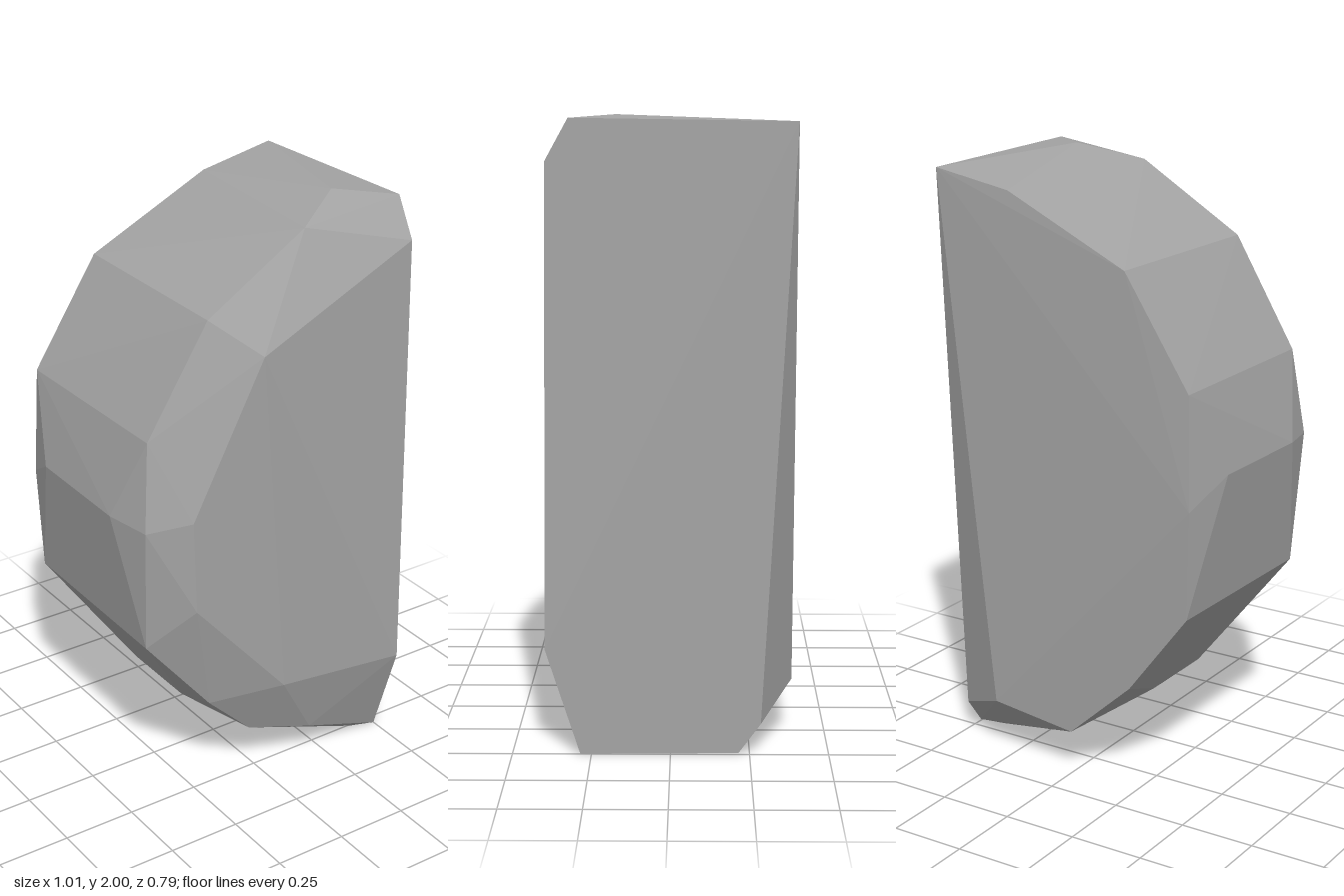
import * as THREE from 'three';
import { ConvexGeometry } from 'three/addons/geometries/ConvexGeometry.js';

export function createModel() {
  const group = new THREE.Group();
  group.name = 'halfRoundRock';
  const stone = new THREE.MeshStandardMaterial({ color: 0xa3a3a3, flatShading: true });
  stone.name = 'stoneGrey';

  // Outline of the flat front facet
  const frontFacet = [
    [0.49, 1.86, 0.382], [-0.07, 1.6, 0.382], [-0.33, 1.1, 0.378],
    [-0.32, 0.78, 0.38], [0.02, 0.39, 0.39], [0.5, 0.34, 0.395],
  ];
  // Chipped rim around the front facet
  const frontRim = [
    [0.49, 1.99, 0.31], [0.14, 1.945, 0.29], [-0.22, 1.725, 0.293],
    [-0.437, 1.37, 0.285], [-0.47, 1.08, 0.32], [-0.45, 0.64, 0.28],
    [-0.23, 0.37, 0.315], [-0.05, 0.19, 0.29], [0.18, 0.13, 0.325],
    [0.41, 0.005, 0.26], [0.5, 0, 0.285],
  ];
  // Ridge points between front and back
  const middle = [
    [0.33, 2, 0.17], [-0.507, 1.09, 0.17], [-0.5, 1.09, -0.24],
    [-0.2, 0.28, 0.1], [-0.2, 0.28, -0.19], [-0.02, 0.145, 0.03],
    [0.41, 0.005, -0.2], [0.5, 0.005, -0.215], [0.5, 0.1, -0.285],
  ];
  // Outline of the back
  const backRim = [
    [0.49, 1.98, -0.39], [0.22, 1.93, -0.382], [-0.21, 1.725, -0.382],
    [-0.44, 1.37, -0.382], [-0.453, 1.0, -0.396], [-0.44, 0.64, -0.385],
    [-0.23, 0.36, -0.388], [0, 0.15, -0.385], [0.3, 0.19, -0.39],
  ];

  // One faceted convex stone wrapped around all the corner points
  const corners = [...frontFacet, ...frontRim, ...middle, ...backRim]
    .map((p) => new THREE.Vector3(...p));
  const rock = new THREE.Mesh(new ConvexGeometry(corners), stone);
  rock.name = 'rock';
  group.add(rock);
  return group;
}
